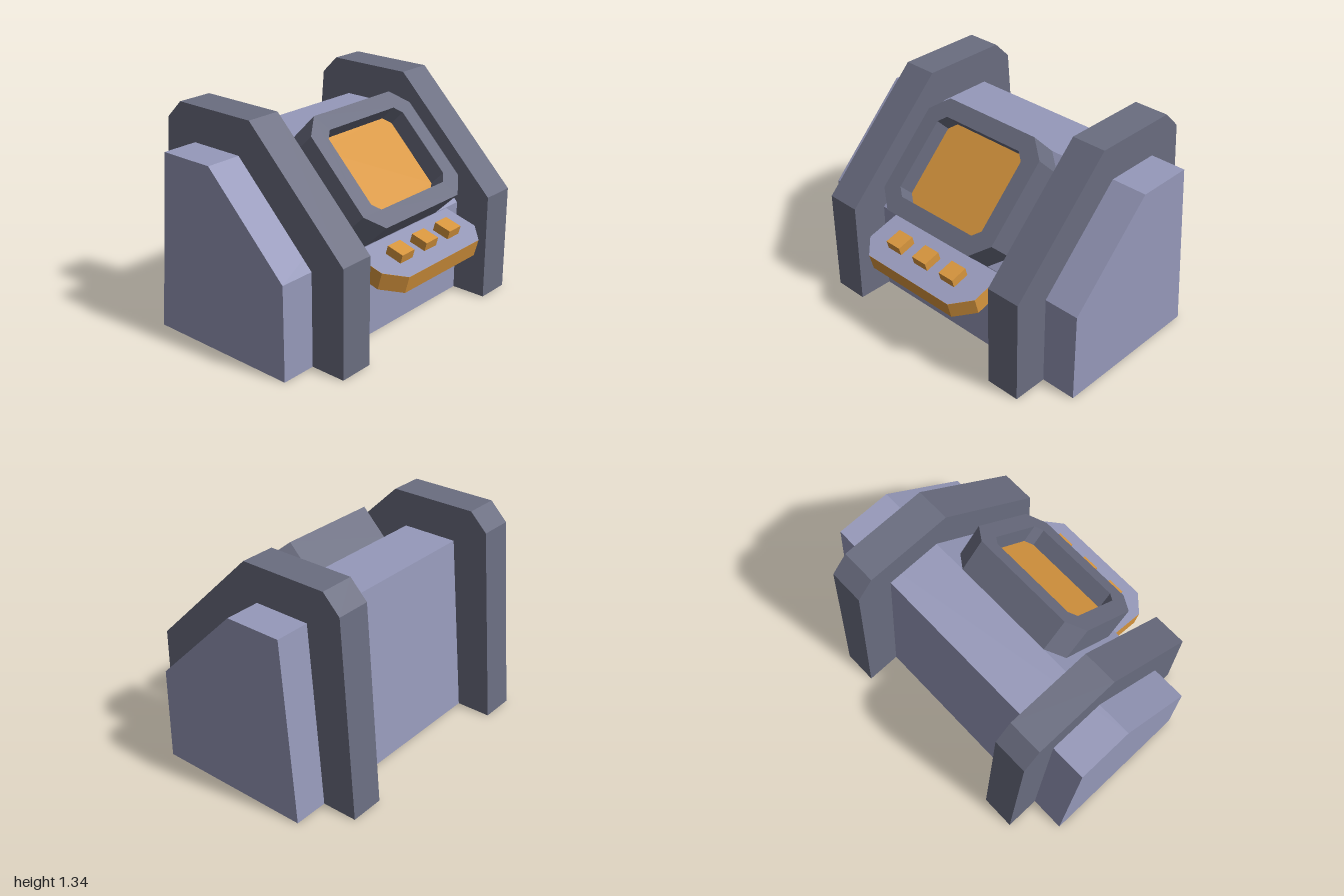
import * as THREE from 'three';

const paint = (color, extra = {}) => new THREE.MeshStandardMaterial({ color, ...extra });
const bodyMat = paint(0x9699ba);
const frameMat = paint(0x6a6d80);
const amberMat = paint(0xd8963e);

const toShape = (pts) => new THREE.Shape(pts.map(([x, y]) => new THREE.Vector2(x, y)));

function part(name, geometry, material) {
  const mesh = new THREE.Mesh(geometry, material);
  mesh.name = name;
  return mesh;
}

const extrude = (shape, depth) => new THREE.ExtrudeGeometry(shape, { depth, bevelEnabled: false });

// Side profile given as [z, y], extruded across x and centred
function extrudeAcross(points, width) {
  return extrude(toShape(points), width).translate(0, 0, -width / 2).rotateY(-Math.PI / 2);
}

// Rectangle with cut corners, given by its half sizes
function cutRect(w, h, c) {
  return [
    [-w + c, -h], [w - c, -h], [w, -h + c], [w, h - c],
    [w - c, h], [-w + c, h], [-w, h - c], [-w, -h + c],
  ];
}

export function createModel() {
  const model = new THREE.Group();
  model.name = 'console';

  // Main housing
  const profile = [[0.45, 0], [0.45, 0.58], [-0.085, 1.115], [-0.44, 1.115], [-0.55, 0]];
  model.add(part('housing', extrudeAcross(profile, 2), bodyMat));

  // Two thick arches wrapping the housing
  const arch = [
    [0.675, 0], [0.675, 0.667], [0.005, 1.335], [-0.55, 1.335], [-0.66, 1.225], [-0.77, 0],
    ...profile.slice().reverse(),
  ];
  for (const side of [1, -1]) {
    const frame = part(side > 0 ? 'leftArch' : 'rightArch', extrudeAcross(arch, 0.22), frameMat);
    frame.position.x = side * 0.667;
    model.add(frame);
  }

  // Screen surround on the sloped face, with a recessed screen
  const monitor = new THREE.Group();
  monitor.name = 'monitor';
  monitor.position.set(0, 0.847, 0.1825);
  monitor.rotation.x = -Math.PI / 4;
  const surround = toShape(cutRect(0.443, 0.378, 0.108));
  surround.holes.push(toShape(cutRect(0.335, 0.27, 0.048)));
  monitor.add(part('screenSurround', extrude(surround, 0.22), frameMat));
  const screen = part('screen', new THREE.ShapeGeometry(toShape(cutRect(0.335, 0.27, 0.048))), amberMat);
  screen.position.z = 0.1;
  monitor.add(screen);
  model.add(monitor);

  // Tilted control shelf: origin at its front top edge, y runs back, z points out of its top
  const shelf = new THREE.Group();
  shelf.name = 'controlShelf';
  shelf.position.set(0, 0.49, 0.77);
  shelf.rotation.x = -THREE.MathUtils.degToRad(75);
  const outline = toShape([[-0.333, 0], [0.333, 0], [0.443, 0.11], [0.443, 0.34], [-0.443, 0.34], [-0.443, 0.11]]);
  const slab = part('shelfSlab', extrude(outline, 0.109), amberMat);
  slab.position.z = -0.11;
  const top = part('shelfTop', new THREE.ShapeGeometry(outline), bodyMat);
  shelf.add(slab, top);

  // Row of buttons
  for (const x of [-0.222, 0, 0.222]) {
    const button = part('button', new THREE.BoxGeometry(0.11, 0.11, 0.055), amberMat);
    button.position.set(x, 0.167, 0.0275);
    shelf.add(button);
  }
  model.add(shelf);

  // Centre front to back
  model.position.z = 0.048;
  const root = new THREE.Group();
  root.name = 'model';
  model.position.z = 0;
  root.add(model);
  return root;
}
